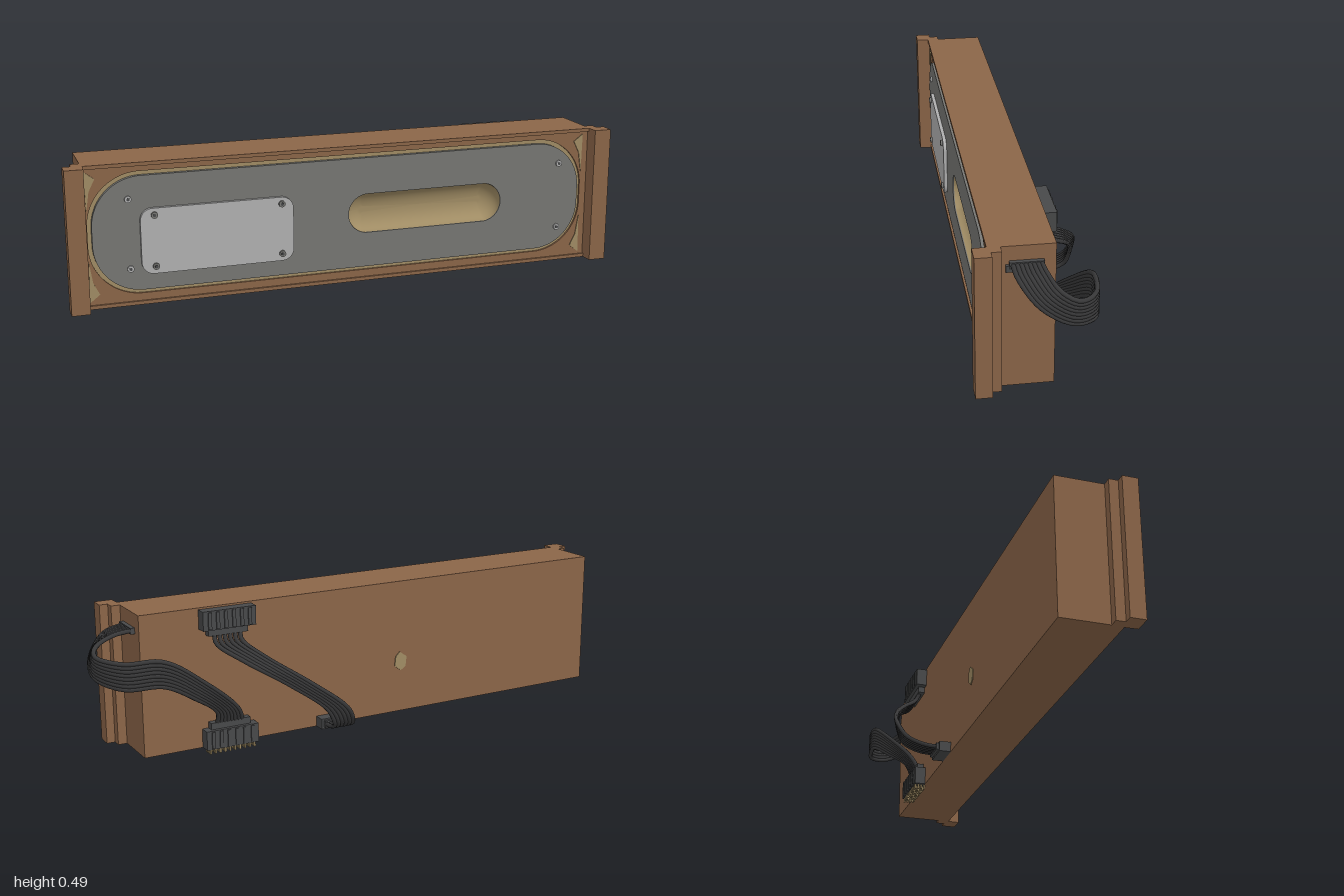
import * as THREE from 'three';

const mat = (name, color, extra = {}) => {
  const m = new THREE.MeshStandardMaterial({ color, ...extra });
  m.name = name;
  return m;
};

export function createModel() {
  const root = new THREE.Group();
  root.name = 'panelModule';
  const brown = mat('brown', 0x8b6548);
  const grey = mat('plateGrey', 0x767673);
  const silver = mat('silver', 0xb0b0b0);
  const tan = mat('tan', 0xa08c64, { side: THREE.DoubleSide });
  const plastic = mat('connectorGrey', 0x48494a);
  const wire = mat('wireBlack', 0x383839);

  const add = (name, geo, material, parent = root) => {
    const m = new THREE.Mesh(geo, material);
    m.name = name;
    parent.add(m);
    return m;
  };
  // box given by its limits on each axis
  const box = (name, x0, x1, y0, y1, z0, z1, material, parent) => {
    const g = new THREE.BoxGeometry(x1 - x0, y1 - y0, z1 - z0);
    g.translate((x0 + x1) / 2, (y0 + y1) / 2, (z0 + z1) / 2);
    return add(name, g, material, parent);
  };
  const rounded = (x0, x1, y0, y1, r, S = THREE.Shape) => {
    const s = new S();
    s.absarc(x1 - r, y0 + r, r, -Math.PI / 2, 0);
    s.absarc(x1 - r, y1 - r, r, 0, Math.PI / 2);
    s.absarc(x0 + r, y1 - r, r, Math.PI / 2, Math.PI);
    s.absarc(x0 + r, y0 + r, r, Math.PI, Math.PI * 1.5);
    s.closePath();
    return s;
  };
  const slab = (name, shape, z0, z1, material) => {
    const g = new THREE.ExtrudeGeometry(shape, { depth: z1 - z0, bevelEnabled: false, curveSegments: 16 });
    g.translate(0, 0, z0);
    return add(name, g, material);
  };

  // housing: solid back, front frame with an oval-ended opening, thin rails
  const L = -0.94, R = 0.828, B = 0.016, T = 0.487;
  box('housing', L, R, B, T, -0.03, 0.11, brown);
  const frame = new THREE.Shape([[L, B], [R, B], [R, T], [L, T]].map(p => new THREE.Vector2(...p)));
  frame.holes.push(rounded(-0.93, 0.8, 0.053, 0.457, 0.17, THREE.Path));
  slab('frontFrame', frame, 0.11, 0.165, brown);
  box('topRail', L, R, 0.475, T, 0.165, 0.172, brown);
  box('bottomRail', L, R, B, 0.028, 0.165, 0.172, brown);

  // stepped mounting flanges at both ends
  for (const [edge, s] of [[L, -1], [R, 1]]) {
    const pts = [[-0.006, 0.132], [0.03, 0.132], [0.03, 0.163], [0.058, 0.163], [0.058, 0.215], [-0.002, 0.215]];
    const shape = new THREE.Shape(pts.map(([x, z]) => new THREE.Vector2(edge + s * x, -z)));
    const g = new THREE.ExtrudeGeometry(shape, { depth: T - B, bevelEnabled: false });
    g.rotateX(-Math.PI / 2);
    g.translate(0, B, 0);
    add('mountingFlange', g, brown);
  }

  // gasket around the face plate
  const gasket = rounded(-0.93, 0.8, 0.053, 0.457, 0.17);
  gasket.holes.push(rounded(-0.917, 0.787, 0.066, 0.444, 0.16, THREE.Path));
  slab('gasket', gasket, 0.11, 0.158, tan);

  // tan corner webs
  const midY = 0.2525, midX = -0.065;
  for (const sx of [-1, 1]) for (const sy of [-1, 1]) {
    const p = [[0.868, 0.215], [0.835, 0.19], [0.855, 0.15], [0.866, 0.08]];
    slab('cornerWeb', new THREE.Shape(p.map(([x, y]) =>
      new THREE.Vector2(midX + sx * x, midY + sy * y))), 0.164, 0.168, tan);
  }

  // face plate with slot
  const plate = rounded(-0.917, 0.787, 0.066, 0.444, 0.16);
  plate.holes.push(rounded(-0.065, 0.49, 0.1855, 0.3195, 0.067, THREE.Path));
  slab('facePlate', plate, 0.112, 0.172, grey);

  // scooped handle: half sphere stretched into a trough
  const scoop = new THREE.SphereGeometry(0.067, 40, 10, 0, Math.PI * 2, Math.PI / 2, Math.PI / 2);
  scoop.rotateX(Math.PI / 2);
  const sp = scoop.attributes.position;
  for (let i = 0; i < sp.count; i++) {
    const x = sp.getX(i);
    if (Math.abs(x) > 1e-5) sp.setX(i, x + Math.sign(x) * 0.2105);
  }
  scoop.scale(1, 1, 0.75);
  scoop.computeVertexNormals();
  scoop.translate(0.2125, midY, 0.168);
  add('handleScoop', scoop, tan);

  // label plate and screws
  slab('labelPlate', rounded(-0.765, -0.26, 0.12, 0.337, 0.04), 0.172, 0.184, silver);
  const screw = (x, y, z, r, m) => {
    const g = new THREE.CylinderGeometry(r, r, 0.008, 14);
    g.rotateX(Math.PI / 2);
    g.translate(x, y, z);
    add('screw', g, m);
    const d = new THREE.CylinderGeometry(r * 0.5, r * 0.5, 0.002, 6);
    d.rotateX(Math.PI / 2);
    d.translate(x, y, z + 0.0045);
    add('screwSocket', d, plastic);
  };
  for (const y of [0.14, 0.37]) for (const x of [-0.8, 0.71]) screw(x, y, 0.174, 0.011, silver);
  for (const y of [0.145, 0.315]) for (const x of [-0.72, -0.3]) screw(x, y, 0.187, 0.011, grey);

  // tan patch on the back
  const patch = new THREE.Shape([[-0.02, -0.022], [0.0, -0.034], [0.024, -0.016], [0.02, 0.018],
    [0.004, 0.034], [-0.024, 0.014]].map(([x, y]) => new THREE.Vector2(x - 0.13, y + 0.2)));
  slab('backPatch', patch, -0.033, -0.029, tan);

  // wide connectors on the back: shell, ribs, cable neck
  const wideConnector = (name, y0, neckY0) => {
    const g = new THREE.Group();
    g.name = name;
    root.add(g);
    box('shell', 0.442, 0.627, y0, y0 + 0.064, -0.068, -0.03, plastic, g);
    box('neck', 0.465, 0.605, neckY0, neckY0 + 0.022, -0.055, -0.031, plastic, g);
    for (let i = 0; i < 6; i++) {
      const x = 0.458 + i * 0.028;
      box('rib', x, x + 0.012, y0 + 0.004, y0 + 0.06, -0.072, -0.067, plastic, g);
    }
    return g;
  };
  wideConnector('upperConnector', 0.417, 0.395);
  const lower = wideConnector('lowerConnector', 0.016, 0.08);
  for (let i = 0; i < 10; i++) for (let j = 0; j < 4; j++) {
    const x = 0.456 + i * 0.0175, z = -0.031 - j * 0.0105;
    box('pin', x - 0.003, x + 0.003, 0, 0.02, z - 0.003, z + 0.003, tan, lower);
  }

  // small connector on the back and the one on the left end
  box('smallConnector', 0.11, 0.206, 0.016, 0.052, -0.07, -0.03, plastic);
  box('smallConnectorNeck', 0.118, 0.198, 0.023, 0.047, -0.08, -0.07, plastic);
  box('sideConnector', 0.82, 0.842, 0.42, 0.44, 0.006, 0.108, plastic);
  box('sideLatch', 0.82, 0.838, 0.407, 0.428, 0.095, 0.118, plastic);

  // ribbon cables: each wire interpolates its own path
  const ribbon = (name, count, radius, path) => {
    const g = new THREE.Group();
    g.name = name;
    root.add(g);
    for (let i = 0; i < count; i++) {
      const pts = path(i / (count - 1)).map(p => new THREE.Vector3(...p));
      add('wire', new THREE.TubeGeometry(new THREE.CatmullRomCurve3(pts), 48, radius, 8), wire, g);
    }
  };
  ribbon('sideRibbon', 8, 0.0075, t => {
    const y = 0.288 + 0.08 * t, z = 0.098 - 0.084 * t;
    return [[0.835, 0.431, z], [0.9, 0.415 + 0.01 * t, z - 0.008], [0.965, 0.36 + 0.045 * t, z * 0.7 - 0.03],
      [0.985, 0.315 + 0.07 * t, -0.045 - 0.02 * t], [0.92, y, -0.128], [0.8, y - 0.005, -0.145],
      [0.68 - 0.03 * t, 0.215 + 0.05 * t, -0.112], [0.585 - 0.075 * t, 0.14, -0.065], [0.58 - 0.09 * t, 0.09, -0.044]];
  });
  ribbon('backRibbon', 6, 0.0075, t => {
    const a = 0.125 + 0.066 * t, b = 0.49 + 0.09 * t;
    return [[a, 0.035, -0.075], [a + 0.005, 0.042, -0.125], [a + 0.02, 0.07, -0.178 + 0.006 * t],
      [a + 0.055, 0.13, -0.204 + 0.02 * t], [0.3 + 0.07 * t, 0.225, -0.178 + 0.02 * t],
      [0.43 + 0.08 * t, 0.315, -0.115], [b, 0.37, -0.06], [b, 0.4, -0.044]];
  });

  return root;
}
